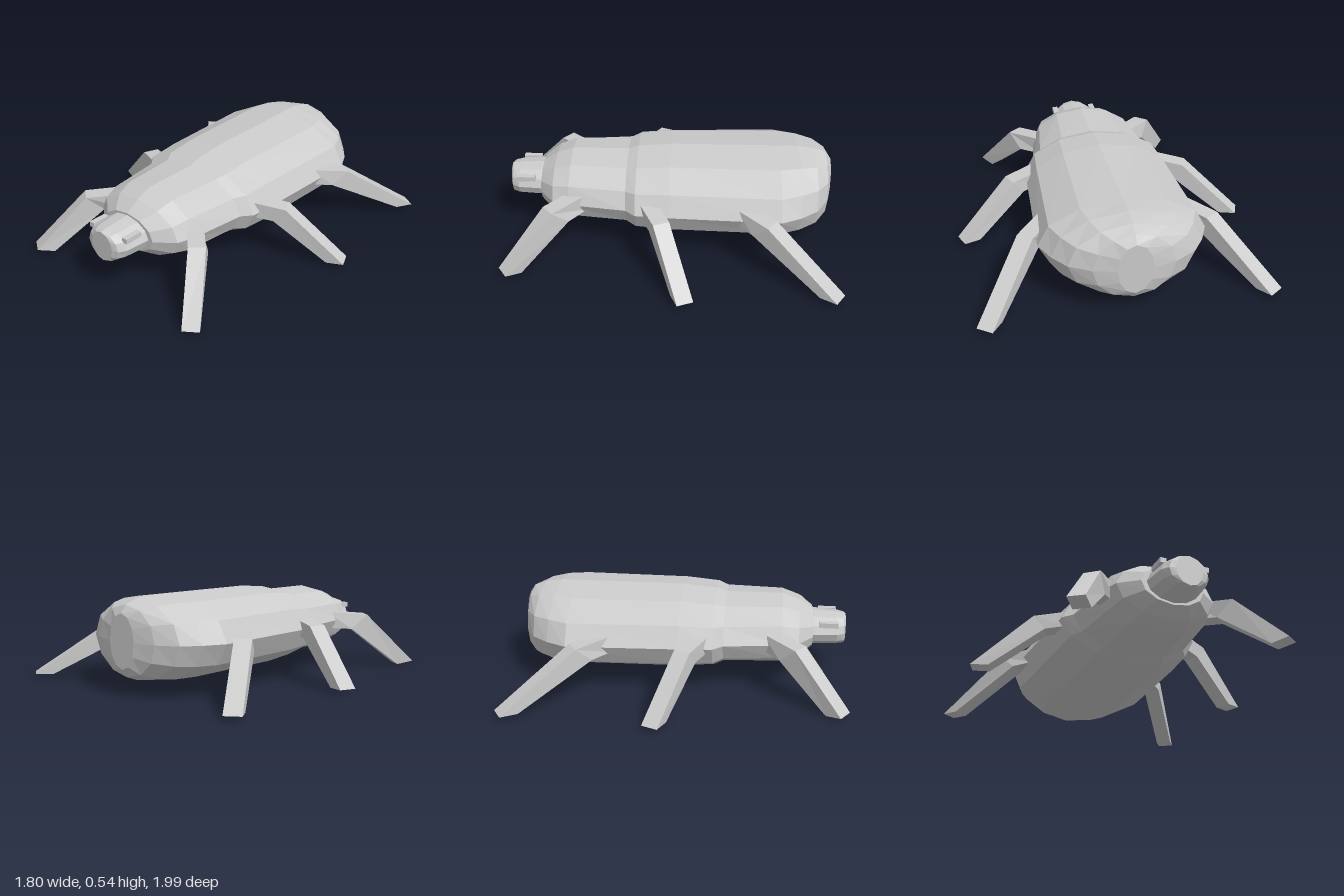
import * as THREE from 'three';

const material = new THREE.MeshStandardMaterial({ color: 0xcccccc, flatShading: true });

// Skin a list of equal-sized rings (counter-clockwise seen from the last ring), capping both ends.
function loft(rings) {
  const n = rings[0].length;
  const positions = rings.flat(2);
  const index = [];
  for (let r = 0; r < rings.length - 1; r++) {
    for (let i = 0; i < n; i++) {
      const a = r * n + i, b = r * n + (i + 1) % n;
      index.push(a, b, b + n, a, b + n, a + n);
    }
  }
  const last = (rings.length - 1) * n;
  for (let i = 1; i < n - 1; i++) {
    index.push(0, i + 1, i);
    index.push(last, last + i, last + i + 1);
  }
  const geometry = new THREE.BufferGeometry();
  geometry.setAttribute('position', new THREE.Float32BufferAttribute(positions, 3));
  geometry.setIndex(index);
  const flat = geometry.toNonIndexed();
  flat.computeVertexNormals();
  return flat;
}

// Twelve-sided oval ring facing +z
function oval([z, rx, ry, cy = 0.3]) {
  return Array.from({ length: 12 }, (_, i) => {
    const a = (i / 12) * Math.PI * 2;
    return [rx * Math.cos(a), cy + ry * Math.sin(a), z];
  });
}

// Four-cornered leg section: centres of its upper and lower edges, spread sideways to direction d
function legSection(top, bottom, d, half) {
  const len = Math.hypot(d[0], d[1]);
  const ux = (d[1] / len) * half, uz = (-d[0] / len) * half;
  const at = (p, s) => [p[0] + s * ux, p[1], p[2] + s * uz];
  return [at(bottom, -1), at(bottom, 1), at(top, 1), at(top, -1)];
}

// Leg sections from hip to foot: upper edge, lower edge, horizontal direction
const legs = {
  front: [
    [[0.26, 0.355, 0.52], [0.26, 0.25, 0.52], [0.68, 0.73]],
    [[0.445, 0.335, 0.705], [0.385, 0.245, 0.62], [0.64, 0.77]],
    [[0.628, 0.02, 0.965], [0.565, 0, 0.885], [0.565, 0.825]],
  ],
  middle: [
    [[0.36, 0.36, 0.135], [0.36, 0.265, 0.135], [0.9, -0.43]],
    [[0.555, 0.335, 0.04], [0.49, 0.25, 0.068], [0.926, -0.378]],
    [[0.88, 0.025, -0.105], [0.785, 0.02, -0.066], [0.926, -0.378]],
  ],
  rear: [
    [[0.39, 0.355, -0.42], [0.39, 0.255, -0.42], [0.62, -0.78]],
    [[0.54, 0.33, -0.59], [0.485, 0.245, -0.51], [0.58, -0.815]],
    [[0.815, 0.025, -0.972], [0.755, 0.02, -0.885], [0.567, -0.824]],
  ],
};

export function createModel() {
  const model = new THREE.Group();
  const add = (name, geometry) => {
    const mesh = new THREE.Mesh(geometry, material);
    mesh.name = name;
    model.add(mesh);
    return mesh;
  };

  // Abdomen and thorax: z, half width, half height
  add('body', loft([
    [-0.97, 0.1, 0.155], [-0.938, 0.23, 0.2], [-0.87, 0.35, 0.225], [-0.77, 0.425, 0.24],
    [-0.65, 0.48, 0.24], [0, 0.45, 0.24], [0.2, 0.434, 0.222], [0.26, 0.382, 0.202],
    [0.6, 0.333, 0.202], [0.7, 0.3, 0.166], [0.785, 0.19, 0.112],
  ].map(oval)));

  // Head
  add('head', loft([
    [0.75, 0.158, 0.1], [0.8, 0.157, 0.1], [0.93, 0.143, 0.095, 0.298],
    [0.973, 0.115, 0.092, 0.296], [0.985, 0.08, 0.09, 0.295],
  ].map(oval)));

  for (const side of [1, -1]) {
    const label = side > 0 ? 'left' : 'right';

    // Eye block on the upper side of the head
    add(label + 'Eye', new THREE.BoxGeometry(0.035, 0.03, 0.11))
      .position.set(side * 0.129, 0.356, 0.88);

    // Bent legs
    for (const [name, sections] of Object.entries(legs)) {
      const flip = ([x, y, z]) => [side * x, y, z];
      add(`${label}${name[0].toUpperCase()}${name.slice(1)}Leg`, loft(sections.map(
        ([top, bottom, d]) => legSection(flip(top), flip(bottom), [side * d[0], d[1]], 0.049))));
    }
  }
  return model;
}
